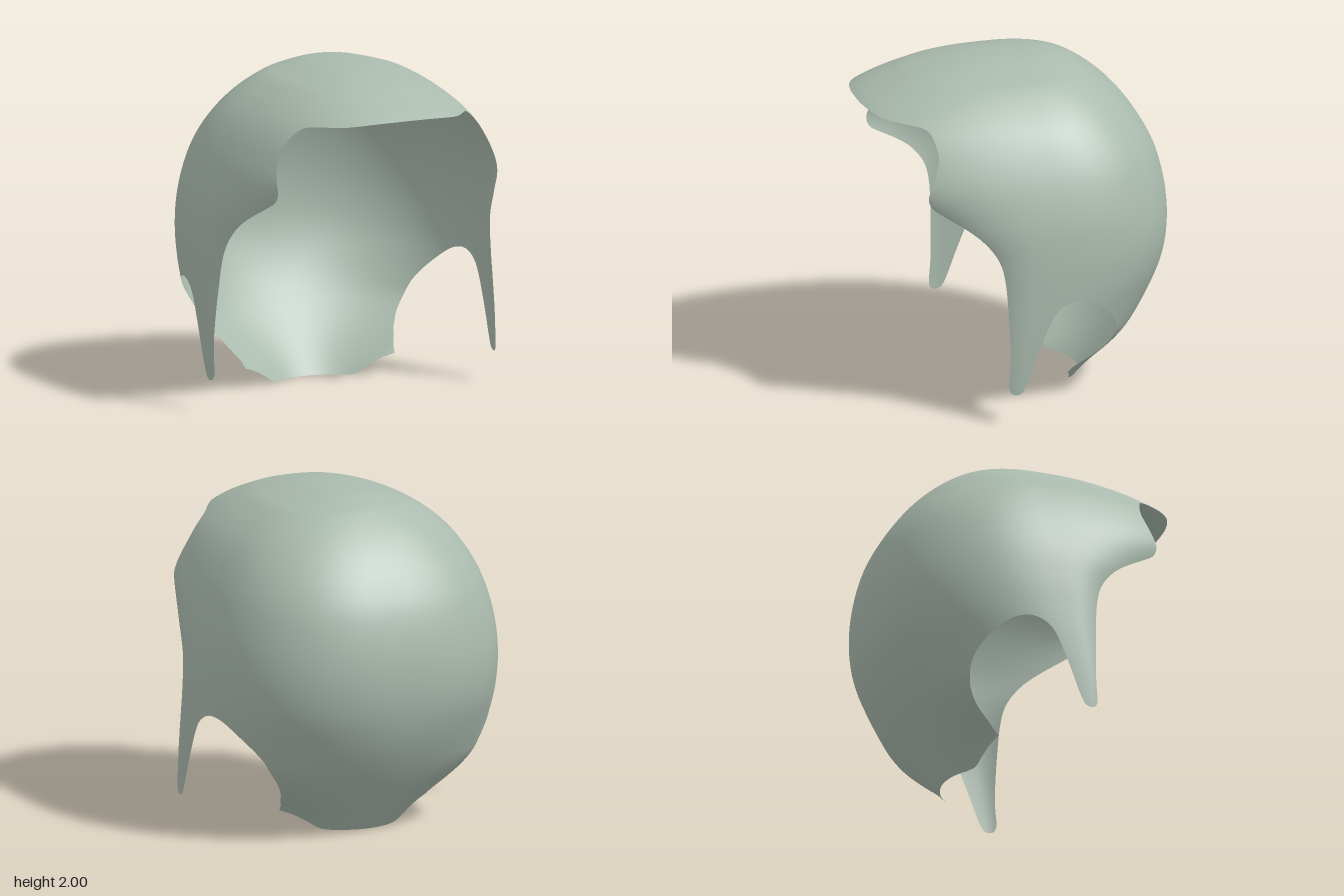
import * as THREE from 'three';

// Horizontal sections of the full dome: [y, half width, back z], [front z, centre z, back squareness]
const SECTIONS = [
  [2.0, 0, 0.05, 0.05, 0.05, 2.2],
  [1.995, 0.1, -0.12, 0.21, 0.04, 2.2],
  [1.98, 0.2, -0.26, 0.36, 0.02, 2.2],
  [1.94, 0.34, -0.38, 0.55, 0, 2.2],
  [1.9, 0.44, -0.45, 0.68, -0.02, 2.3],
  [1.81, 0.57, -0.57, 0.9, -0.04, 2.3],
  [1.7, 0.68, -0.68, 1.06, -0.05, 2.3],
  [1.56, 0.77, -0.78, 1.12, -0.05, 2.4],
  [1.4, 0.84, -0.86, 1.1, -0.05, 2.4],
  [1.2, 0.895, -0.91, 0.84, -0.03, 2.4],
  [1.0, 0.92, -0.925, 0.6, 0, 2.4],
  [0.8, 0.93, -0.905, 0.52, 0.04, 2.3],
  [0.6, 0.935, -0.84, 0.5, 0.08, 2.1],
  [0.4, 0.935, -0.73, 0.5, 0.12, 2],
  [0.2, 0.93, -0.585, 0.5, 0.15, 2],
  [0.0, 0.92, -0.42, 0.5, 0.15, 2],
  [-0.06, 0.92, -0.36, 0.5, 0.15, 2],
];

// Side outline as (z, y): fringe, temple, sideburn, ear arch, nape
function sideOutline() {
  const v = (list) => list.map(([z, y]) => new THREE.Vector2(z, y));
  const s = new THREE.Shape();
  s.moveTo(0.925, 1.8);
  s.splineThru(v([
    [0.83, 1.775], [0.7, 1.765], [0.62, 1.745], [0.59, 1.68], [0.585, 1.6], [0.63, 1.47], [0.66, 1.39],
    [0.64, 1.325], [0.57, 1.275], [0.45, 1.2], [0.35, 1.12], [0.27, 1.01], [0.235, 0.88], [0.22, 0.65],
    [0.215, 0.4], [0.225, 0.24], [0.21, 0.195], [0.18, 0.185], [0.145, 0.2], [0.11, 0.27], [0.05, 0.43],
    [-0.02, 0.6], [-0.07, 0.68], [-0.14, 0.725], [-0.21, 0.735], [-0.3, 0.71], [-0.39, 0.64],
    [-0.46, 0.55], [-0.485, 0.46], [-0.465, 0.36], [-0.4, 0.27], [-0.3, 0.185], [-0.24, 0.13],
  ]));
  s.splineThru(v([[-0.27, 0.1], [-0.29, 0.06], [-0.31, 0.015], [-0.34, 0.003]]));
  // generous margin round the crown and back, where the dome itself is the limit
  [[-1.3, 0.003], [-1.3, 2.2], [1.4, 2.2], [1.4, 1.81], [0.925, 1.8]].forEach(([z, y]) => s.lineTo(z, y));
  return s.getPoints(4);
}

// Signed distance to the outline, positive inside
function signedDistance(poly, px, py) {
  let best = Infinity, inside = false;
  for (let i = 0; i < poly.length; i++) {
    const a = poly[i], b = poly[(i + 1) % poly.length];
    const ex = b.x - a.x, ey = b.y - a.y;
    const t = THREE.MathUtils.clamp(((px - a.x) * ex + (py - a.y) * ey) / (ex * ex + ey * ey || 1), 0, 1);
    best = Math.min(best, Math.hypot(px - a.x - ex * t, py - a.y - ey * t));
    if ((a.y > py) !== (b.y > py) && px < a.x + ((py - a.y) / ey) * ex) inside = !inside;
  }
  return inside ? best : -best;
}

// Smooth closed dome lofted through the sections
function domeGeometry(rows, cols) {
  const curve = (from) => new THREE.CatmullRomCurve3(
    SECTIONS.map((r) => new THREE.Vector3(...r.slice(from, from + 3))), false, 'catmullrom', 0.5);
  const outer = curve(0), shape = curve(3);
  const pos = [], index = [];
  for (let i = 0; i <= rows; i++) {
    const { x: y, y: width, z: back } = outer.getPoint(i / rows);
    const { x: front, y: mid, z: square } = shape.getPoint(i / rows);
    for (let j = 0; j < cols; j++) {
      const a = (j / cols) * Math.PI * 2, s = Math.sin(a), c = Math.cos(a);
      const e = 2 / (c > 0 ? 2.4 : square);
      const z = mid + (c > 0 ? front - mid : back - mid) * Math.abs(c) ** e;
      // the nape draws in towards the neck
      const pinch = 0.55 * (1 - THREE.MathUtils.smoothstep(y, -0.05, 0.45)) * THREE.MathUtils.smoothstep(-z, 0, 0.3);
      pos.push(Math.sign(s) * width * Math.abs(s) ** e * (1 - pinch), y, z);
      if (i === rows) continue;
      const k = (j + 1) % cols, p = i * cols, q = p + cols;
      index.push(p + j, q + j, q + k, p + j, q + k, p + k);
    }
  }
  const g = new THREE.BufferGeometry();
  g.setAttribute('position', new THREE.Float32BufferAttribute(pos, 3));
  g.setIndex(index);
  g.computeVertexNormals();
  for (let j = 0; j < cols; j++) g.attributes.normal.setXYZ(j, 0, 1, 0);
  return g;
}

// Keep only the part of the dome inside the side outline
function trim(geometry, poly) {
  const { position, normal } = geometry.attributes;
  const verts = [];
  for (let i = 0; i < position.count; i++) {
    const p = new THREE.Vector3().fromBufferAttribute(position, i);
    verts.push({ p, n: new THREE.Vector3().fromBufferAttribute(normal, i), d: signedDistance(poly, p.z, p.y) });
  }
  const pos = [], nor = [], idx = geometry.index.array;
  for (let f = 0; f < idx.length; f += 3) {
    const tri = [verts[idx[f]], verts[idx[f + 1]], verts[idx[f + 2]]], kept = [];
    tri.forEach((a, k) => {
      const b = tri[(k + 1) % 3];
      if (a.d >= 0) kept.push(a);
      if ((a.d >= 0) !== (b.d >= 0)) {
        const t = a.d / (a.d - b.d);
        kept.push({ p: a.p.clone().lerp(b.p, t), n: a.n.clone().lerp(b.n, t).normalize() });
      }
    });
    for (let k = 1; k + 1 < kept.length; k++) {
      for (const q of [kept[0], kept[k], kept[k + 1]]) {
        pos.push(q.p.x, q.p.y, q.p.z);
        nor.push(q.n.x, q.n.y, q.n.z);
      }
    }
  }
  const g = new THREE.BufferGeometry();
  g.setAttribute('position', new THREE.Float32BufferAttribute(pos, 3));
  g.setAttribute('normal', new THREE.Float32BufferAttribute(nor, 3));
  return g;
}

export function createModel() {
  const group = new THREE.Group();
  group.name = 'hairCap';
  const material = new THREE.MeshStandardMaterial({ color: 0xaabaae, side: THREE.DoubleSide });
  const shell = new THREE.Mesh(trim(domeGeometry(144, 192), sideOutline()), material);
  shell.name = 'hairShell';
  group.add(shell);
  return group;
}
